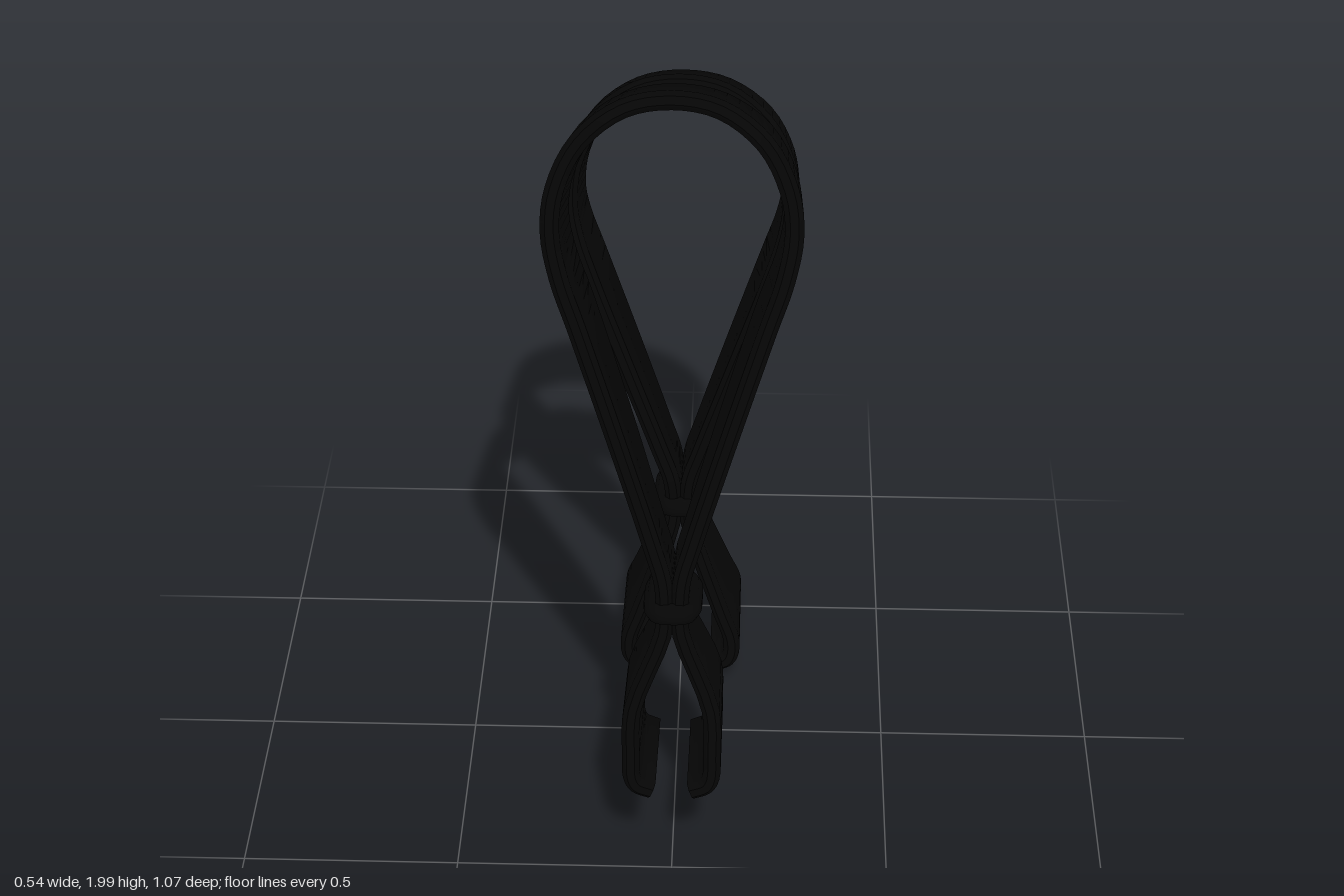
import * as THREE from 'three';
import { toCreasedNormals, mergeVertices } from 'three/addons/utils/BufferGeometryUtils.js';

const black = new THREE.MeshStandardMaterial({ color: 0x060606 });
black.name = 'black webbing';

const THICK = 0.02; // half thickness of the webbing
const RING = 10; // station where the band pinches the strap

// Stations of half a loop, top to tip: x, front edge y and z, rear edge y and z
const FRONT = [
  [0, 1.98, 0.415, 1.832, 0.103],
  [0.1, 1.96, 0.417, 1.812, 0.103],
  [0.19, 1.885, 0.422, 1.74, 0.101],
  [0.24, 1.78, 0.43, 1.635, 0.101],
  [0.252, 1.68, 0.435, 1.54, 0.104],
  [0.236, 1.57, 0.438, 1.445, 0.109],
  [0.2, 1.445, 0.44, 1.335, 0.117],
  [0.11, 1.125, 0.442, 1.03, 0.155],
  [0.045, 0.89, 0.447, 0.795, 0.188],
  [0.021, 0.795, 0.452, 0.705, 0.2],
  [0.017, 0.715, 0.455, 0.625, 0.21],
  [0.021, 0.655, 0.462, 0.56, 0.205],
  [0.088, 0.47, 0.5, 0.38, 0.19],
  [0.092, 0.36, 0.522, 0.27, 0.181],
  [0.09, 0.3, 0.532, 0.21, 0.176],
  [0.078, 0.275, 0.534, 0.188, 0.176],
  [0.044, 0.258, 0.532, 0.172, 0.178],
];
const BACK = [
  [0, 1.71, -0.17, 1.558, -0.482],
  [0.1, 1.69, -0.168, 1.538, -0.484],
  [0.19, 1.615, -0.164, 1.468, -0.486],
  [0.24, 1.51, -0.16, 1.368, -0.487],
  [0.252, 1.41, -0.157, 1.275, -0.487],
  [0.241, 1.32, -0.157, 1.205, -0.488],
  [0.207, 1.2, -0.157, 1.1, -0.488],
  [0.13, 0.955, -0.173, 0.865, -0.481],
  [0.05, 0.7, -0.196, 0.617, -0.469],
  [0.022, 0.605, -0.204, 0.525, -0.464],
  [0.017, 0.53, -0.21, 0.457, -0.46],
  [0.021, 0.475, -0.207, 0.405, -0.465],
  [0.1, 0.225, -0.182, 0.168, -0.508],
  [0.127, 0.145, -0.173, 0.092, -0.524],
  [0.125, 0.1, -0.168, 0.05, -0.53],
  [0.112, 0.08, -0.167, 0.032, -0.531],
  [0.08, 0.07, -0.169, 0.023, -0.529],
];

// Sweeps a chamfered flat section between the front and rear edge curves
function strapGeometry(half) {
  const left = half.slice().reverse();
  const right = half.slice(1).map(([x, ...rest]) => [-x, ...rest]);
  const all = [...left, ...right];
  const front = new THREE.CatmullRomCurve3(all.map((s) => new THREE.Vector3(s[0], s[1], s[2])));
  const rear = new THREE.CatmullRomCurve3(all.map((s) => new THREE.Vector3(s[0], s[3], s[4])));
  const mid = (u) => front.getPoint(u).lerp(rear.getPoint(u), 0.5);
  const n = (all.length - 1) * 4;
  const pos = [], idx = [];
  const c = 0.011, e = 0.015; // edge chamfer across thickness and width
  for (let i = 0; i <= n; i++) {
    const u = i / n;
    const t = mid(Math.min(1, u + 0.004)).sub(mid(Math.max(0, u - 0.004))).normalize();
    const f = front.getPoint(u), r = rear.getPoint(u);
    const w = f.clone().sub(r);
    const h = w.length() / 2;
    w.normalize();
    const b = t.clone().cross(w).normalize();
    const m = f.add(r).multiplyScalar(0.5);
    const section = [
      [h, -THICK + c], [h, THICK - c], [h - e, THICK], [-h + e, THICK],
      [-h, THICK - c], [-h, -THICK + c], [-h + e, -THICK], [h - e, -THICK],
    ];
    for (const [p, q] of section) {
      pos.push(...m.clone().addScaledVector(w, p).addScaledVector(b, q).toArray());
    }
  }
  for (let i = 0; i < n; i++) {
    for (let j = 0; j < 8; j++) {
      const a = i * 8 + j, d = i * 8 + ((j + 1) % 8);
      idx.push(a, d, d + 8, a, d + 8, a + 8);
    }
  }
  // End caps
  for (let j = 1; j < 7; j++) {
    idx.push(0, j + 1, j, n * 8, n * 8 + j, n * 8 + j + 1);
  }
  const geo = new THREE.BufferGeometry();
  geo.setAttribute('position', new THREE.Float32BufferAttribute(pos, 3));
  geo.setIndex(idx);
  return toCreasedNormals(mergeVertices(geo), 0.65);
}

// Flattened cord loop clamped around the pinch
function bandGeometry(halfX, halfZ) {
  const pts = [];
  const soft = (v) => Math.sign(v) * Math.pow(Math.abs(v), 0.55);
  for (let i = 0; i < 24; i++) {
    const a = (i / 24) * Math.PI * 2;
    pts.push(new THREE.Vector3(halfX * soft(Math.cos(a)), 0, halfZ * soft(Math.sin(a))));
  }
  return new THREE.TubeGeometry(new THREE.CatmullRomCurve3(pts, true), 64, 0.025, 10, true);
}

function buildLoop(name, stations) {
  const group = new THREE.Group();
  group.name = name;
  const strap = new THREE.Mesh(strapGeometry(stations), black);
  strap.name = 'strap';
  // Band follows the tilt of the strap at its narrowest station
  const [, yF, zF, yR, zR] = stations[RING];
  const band = new THREE.Mesh(bandGeometry(0.042, Math.hypot(yF - yR, zF - zR) / 2 + 0.002), black);
  band.name = 'band';
  band.position.set(0, (yF + yR) / 2, (zF + zR) / 2);
  band.rotation.x = -Math.atan2(yF - yR, zF - zR);
  group.add(strap, band);
  return group;
}

export function createModel() {
  const model = new THREE.Group();
  model.name = 'hangingStraps';
  model.add(buildLoop('frontLoop', FRONT), buildLoop('backLoop', BACK));
  return model;
}
